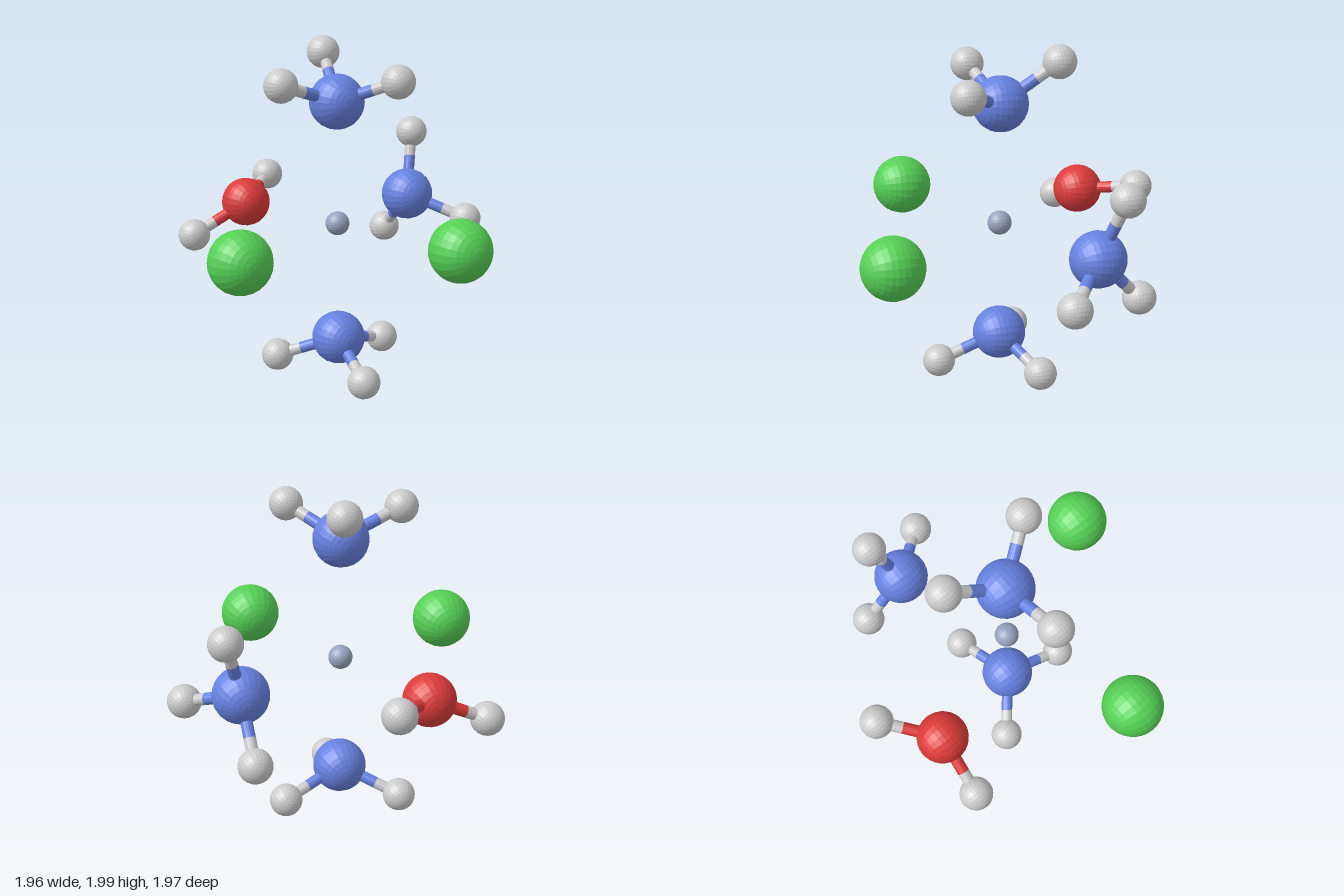
import * as THREE from 'three';

const paint = (color) => new THREE.MeshStandardMaterial({ color, flatShading: true });
const MAT = {
  metal: paint(0x9aa4c0),
  nitrogen: paint(0x6681e0),
  oxygen: paint(0xdc3a3a),
  chlorine: paint(0x55d055),
  hydrogen: paint(0xcccccc),
};
const RADIUS = { metal: 0.07, nitrogen: 0.158, oxygen: 0.147, chlorine: 0.177, hydrogen: 0.096 };
const BOND_RADIUS = 0.034;
const BOND_SPLIT = 0.61; // where a bond changes colour, from heavy atom to hydrogen
const UP = new THREE.Vector3(0, 1, 0);

// All atoms share one tilted pole direction
const TILT = new THREE.Quaternion().setFromUnitVectors(UP, new THREE.Vector3(0.35, -0.1, -0.93).normalize());

function atom(kind, position, name) {
  const mesh = new THREE.Mesh(new THREE.SphereGeometry(RADIUS[kind], 24, 16), MAT[kind]);
  mesh.quaternion.copy(TILT);
  mesh.position.copy(position);
  mesh.name = name;
  return mesh;
}

function bond(kind, from, to, name) {
  const length = from.distanceTo(to);
  const mesh = new THREE.Mesh(new THREE.CylinderGeometry(BOND_RADIUS, BOND_RADIUS, length, 16), MAT[kind]);
  mesh.position.lerpVectors(from, to, 0.5);
  mesh.quaternion.setFromUnitVectors(UP, to.clone().sub(from).normalize());
  mesh.name = name;
  return mesh;
}

// A heavy atom with its hydrogens on two-tone bonds
function ligand(name, kind, centre, hydrogens = []) {
  const group = new THREE.Group();
  group.name = name;
  const c = new THREE.Vector3(...centre);
  group.add(atom(kind, c, `${kind}Atom`));
  hydrogens.forEach((p, i) => {
    const h = new THREE.Vector3(...p);
    const split = c.clone().lerp(h, BOND_SPLIT);
    group.add(
      atom('hydrogen', h, `hydrogenAtom${i + 1}`),
      bond(kind, c, split, `innerBond${i + 1}`),
      bond('hydrogen', split, h, `outerBond${i + 1}`),
    );
  });
  return group;
}

export function createModel() {
  const model = new THREE.Group();
  model.name = 'metalComplex';
  model.add(
    ligand('centralMetal', 'metal', [0.025, 0.96, -0.025]),
    ligand('leftmostChloride', 'chlorine', [-0.81, 0.96, -0.03]),
    ligand('frontChloride', 'chlorine', [0.03, 0.97, 0.81]),
    ligand('topAmmonia', 'nitrogen', [0.025, 1.68, -0.03],
      [[-0.335, 1.815, -0.135], [0.23, 1.907, -0.288], [0.122, 1.82, 0.322]]),
    ligand('bottomAmmonia', 'nitrogen', [0.028, 0.24, -0.02],
      [[-0.158, 0.108, 0.307], [0.405, 0.128, 0.03], [-0.158, 0.105, -0.343]]),
    ligand('sideAmmonia', 'nitrogen', [0.748, 0.965, -0.03],
      [[0.88, 1.33, -0.095], [0.88, 0.838, 0.32], [0.855, 0.675, -0.278]]),
    ligand('backWater', 'oxygen', [0.022, 0.957, -0.735],
      [[0.372, 1.035, -0.862], [-0.285, 0.793, -0.885]]),
  );
  return model;
}
